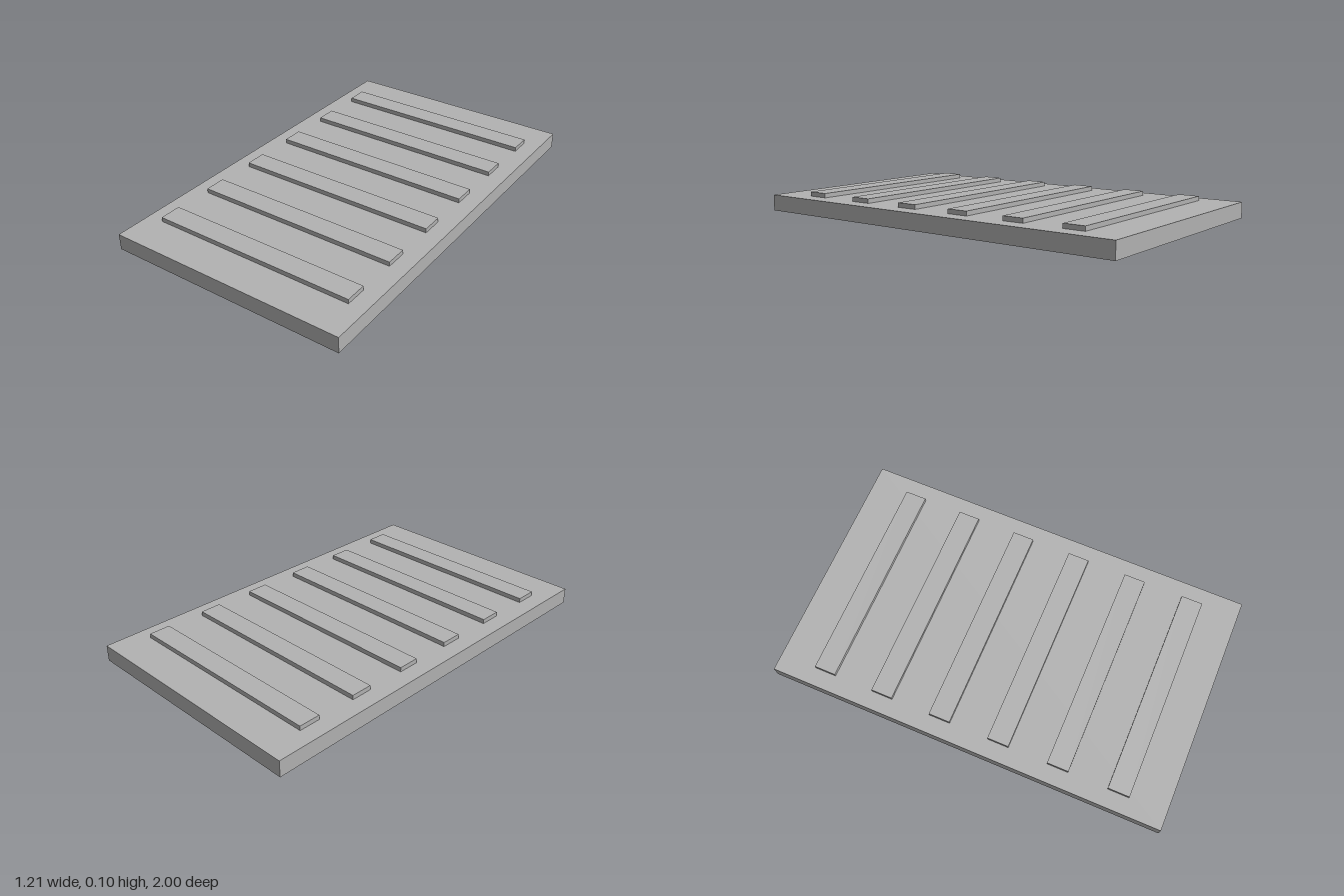
import * as THREE from 'three';

export function createModel() {
  const model = new THREE.Group();
  model.name = 'ribbedPanel';

  const grey = new THREE.MeshStandardMaterial({ color: 0xb2b2b2 });
  grey.name = 'grey';

  // Box placed by the height of its underside
  function addBox(name, width, height, depth, bottom, z) {
    const mesh = new THREE.Mesh(new THREE.BoxGeometry(width, height, depth), grey);
    mesh.name = name;
    mesh.position.set(0, bottom + height / 2, z);
    model.add(mesh);
  }

  // Flat base slab
  const baseHeight = 0.08;
  addBox('base', 1.214, baseHeight, 2, 0, 0);

  // Evenly spaced raised slats across the top
  const slatCount = 6;
  const spacing = 0.304;
  for (let i = 0; i < slatCount; i++) {
    const z = (i - (slatCount - 1) / 2) * spacing;
    addBox(`slat${i + 1}`, 1.044, 0.022, 0.107, baseHeight, z);
  }

  return model;
}
